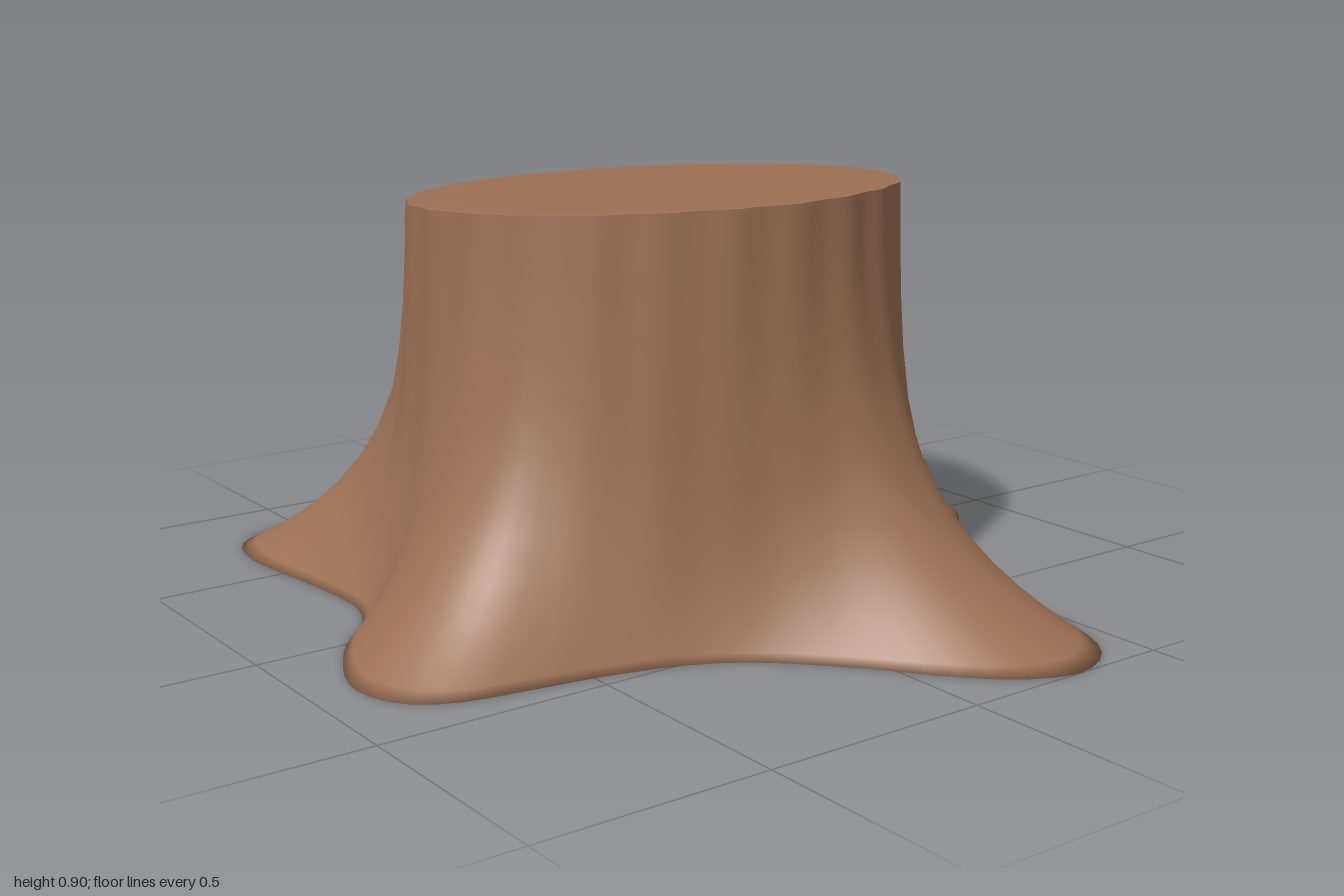
import * as THREE from 'three';

const CX = -0.035; // trunk axis
const TOP_R = 0.535;

// Outline of the five roots on the ground, as x, z pairs
const ROOTS = [
  1.0, -0.27, 0.98, -0.36, 0.92, -0.43, 0.8, -0.48, 0.63, -0.505, 0.47, -0.52, 0.36, -0.555, 0.28, -0.62,
  0.2, -0.71, 0.12, -0.82, 0.04, -0.89, -0.04, -0.91, -0.12, -0.89, -0.2, -0.83, -0.27, -0.75, -0.33, -0.69,
  -0.42, -0.66, -0.55, -0.665, -0.72, -0.68, -0.85, -0.665, -0.94, -0.61, -0.99, -0.53, -0.985, -0.45,
  -0.93, -0.33, -0.83, -0.17, -0.74, -0.03, -0.72, 0.07, -0.74, 0.18, -0.8, 0.34, -0.835, 0.49, -0.82, 0.6,
  -0.76, 0.68, -0.65, 0.71, -0.55, 0.705, -0.35, 0.68, -0.2, 0.675, -0.1, 0.71, 0, 0.8, 0.1, 0.86, 0.2, 0.9,
  0.28, 0.9, 0.36, 0.86, 0.41, 0.78, 0.435, 0.65, 0.46, 0.49, 0.51, 0.31, 0.58, 0.19, 0.72, 0.05,
  0.87, -0.07, 0.96, -0.17,
];

// Moss outline on the bark: degrees round the trunk from -x toward -z, then height
const MOSS = [
  62, 0.2, 52, 0.39, 41, 0.53, 30, 0.5, 20, 0.44, 13, 0.4, 6, 0.44, 3, 0.33, 7, 0.14,
  20, 0.07, 29, 0.025, 37, 0.02, 43, 0.025, 48, 0.05, 59, 0.1,
];

function closedCurve(pairs) {
  const pts = [];
  for (let i = 0; i < pairs.length; i += 2) pts.push(new THREE.Vector3(pairs[i], pairs[i + 1], 0));
  return new THREE.CatmullRomCurve3(pts, true);
}

// Root radius for any angle about the trunk axis
const TAU = Math.PI * 2;
const wrap = (a) => ((a % TAU) + TAU) % TAU;
const polar = closedCurve(ROOTS).getPoints(600).slice(0, -1)
  .map((p) => ({ a: wrap(Math.atan2(p.y, p.x - CX)), r: Math.hypot(p.x - CX, p.y) }))
  .sort((p, q) => p.a - q.a);

function rootRadius(angle) {
  const a = wrap(angle);
  let k = polar.findIndex((p) => p.a > a);
  if (k < 0) k = 0;
  const q = polar[k];
  const p = polar[(k + polar.length - 1) % polar.length];
  const span = wrap(q.a - p.a) || 1;
  return THREE.MathUtils.lerp(p.r, q.r, wrap(a - p.a) / span);
}

// Sloping cut height, and a point on the flared bark
const cutHeight = (a, r = TOP_R) => 0.875 + (r / TOP_R) * (0.024 * Math.cos(a) - 0.01 * Math.sin(a));

function bark(a, y) {
  const flare = Math.exp(-4.5 * y) - 0.019 * y;
  const flutes = (0.004 * Math.sin(24 * a) + 0.003 * Math.sin(7 * a + 1)) * Math.min(1, y / 0.8);
  const r = TOP_R + (rootRadius(a) - TOP_R) * flare + flutes;
  return new THREE.Vector3(CX + r * Math.cos(a), y, r * Math.sin(a));
}

function barkNormal(a, y) {
  const da = bark(a + 0.05, y).sub(bark(a - 0.05, y));
  const dy = bark(a, y + 0.02).sub(bark(a, y - 0.02));
  return dy.cross(da).normalize();
}

// Skin closed rings, with optional centre points closing the ends
function loft(rings, endPoint, startPoint) {
  const n = rings[0].length;
  const points = rings.flat();
  const index = [];
  for (let j = 0; j < rings.length - 1; j++) {
    for (let i = 0; i < n; i++) {
      const a = j * n + i;
      const b = j * n + ((i + 1) % n);
      index.push(a, a + n, b, b, a + n, b + n);
    }
  }
  const last = (rings.length - 1) * n;
  for (let i = 0; i < n; i++) {
    const k = (i + 1) % n;
    if (endPoint) index.push(points.length, last + k, last + i);
    if (startPoint) index.push(points.length + (endPoint ? 1 : 0), i, k);
  }
  if (endPoint) points.push(endPoint);
  if (startPoint) points.push(startPoint);
  const geo = new THREE.BufferGeometry().setFromPoints(points);
  geo.setIndex(index);
  geo.computeVertexNormals();
  return geo;
}

export function createModel() {
  const group = new THREE.Group();
  group.name = 'treeStump';
  const wood = new THREE.MeshStandardMaterial({ color: 0x9c7054 });
  wood.name = 'brown wood';
  const green = new THREE.MeshStandardMaterial({ color: 0x6b9b6b });
  green.name = 'green moss';
  const add = (name, geo, mat) => {
    const mesh = new THREE.Mesh(geo, mat);
    mesh.name = name;
    group.add(mesh);
  };

  // Trunk with flaring roots and a flat underside
  const N = 144;
  const angles = Array.from({ length: N }, (_, i) => (i / N) * TAU);
  const levels = [0, 0.02, 0.05, 0.09, 0.14, 0.2, 0.28, 0.37, 0.48, 0.6, 0.73, 0.87, 1];
  const rings = levels.map((t) => angles.map((a) => bark(a, t * cutHeight(a))));
  const trunk = loft(rings, null, new THREE.Vector3(CX, 0, 0));
  // Round the shading over the ground edge
  const normals = trunk.attributes.normal;
  angles.forEach((a, i) => {
    const side = barkNormal(a, 0.03);
    side.y = 0;
    side.normalize().setY(-0.3).normalize();
    normals.setXYZ(i, side.x, side.y, side.z);
  });
  add('trunkAndRoots', trunk, wood);

  // Cut face on top
  const cutRings = [1, 0.97, 0.6, 0.3].map((s) => angles.map((a, i) => {
    const p = rings[rings.length - 1][i];
    const y = s === 1 ? p.y : cutHeight(a, TOP_R * s) + 0.002;
    return new THREE.Vector3(CX + (p.x - CX) * s, y, p.z * s);
  }));
  add('cutFace', loft(cutRings, new THREE.Vector3(CX, 0.877, 0)), wood);

  // Moss cushion draped over one root
  const mossPoint = (deg, y, lift) => {
    const a = Math.PI + THREE.MathUtils.degToRad(deg);
    return bark(a, y).addScaledVector(barkNormal(a, y), lift);
  };
  const outline = closedCurve(MOSS).getPoints(80).slice(0, -1);
  const mid = new THREE.Vector3(32, 0.2, 0);
  const mossRings = [1, 0.985, 0.95, 0.9, 0.82, 0.72, 0.6, 0.48, 0.36, 0.24, 0.12].map((s) => outline.map((p) => {
    const q = mid.clone().lerp(p, s);
    return mossPoint(q.x, Math.max(q.y, 0.015), 0.055 * Math.sqrt(1 - s ** 4) - 0.012);
  }));
  add('moss', loft(mossRings, mossPoint(mid.x, mid.y, 0.043)), green);

  return group;
}
